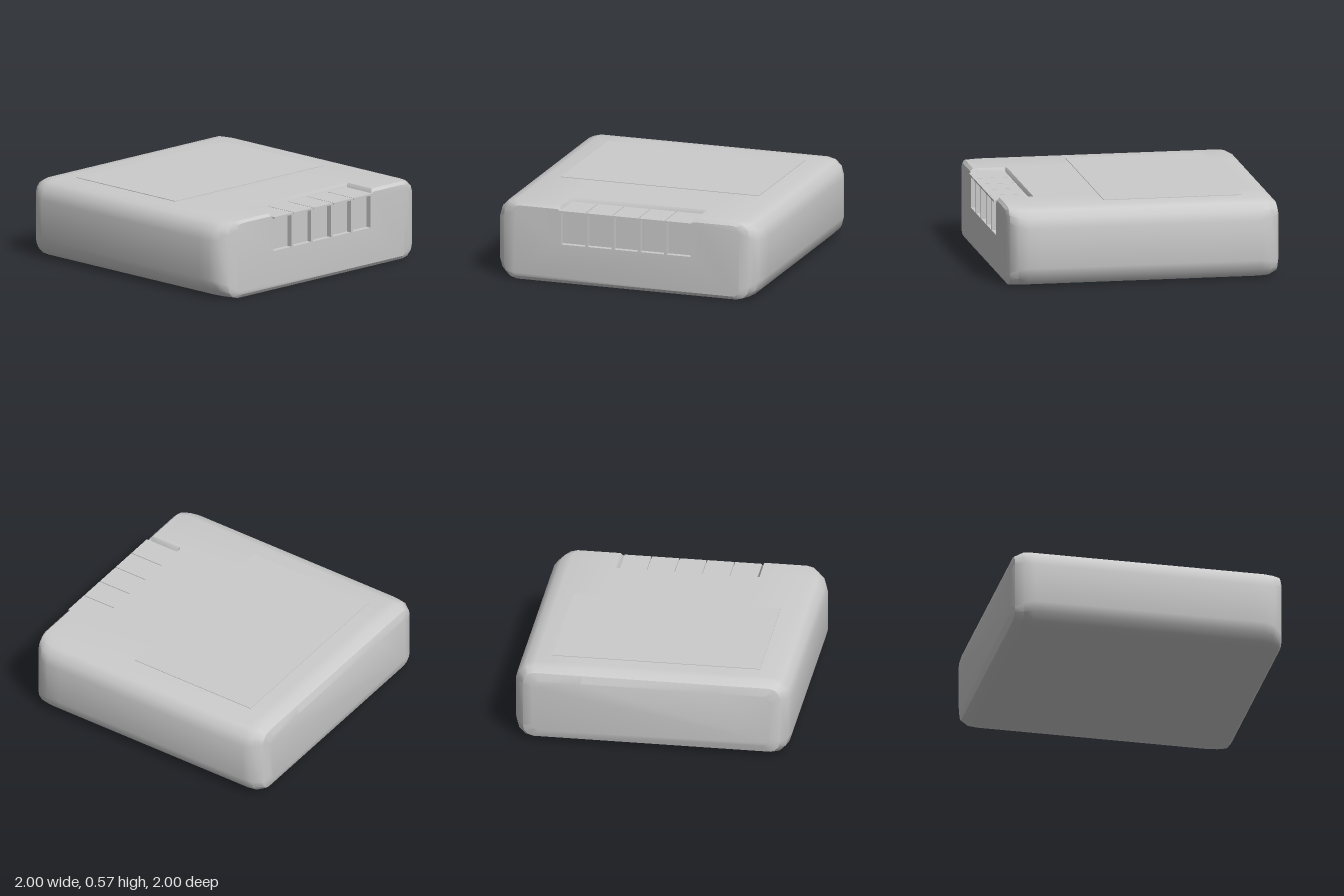
import * as THREE from 'three';
import { toCreasedNormals } from 'three/addons/utils/BufferGeometryUtils.js';

const material = new THREE.MeshStandardMaterial({ color: 0xcccccc });

// Rounded cross-section (counter-clockwise seen from the front).
// lip and floor are the two heights of the key recess cut in the top edge.
function section({ z, w, y0, y1, r, lip = y1, floor = y1 }) {
  const pts = [];
  const corner = (cx, cy, start) => {
    for (let i = 0; i <= 3; i++) {
      const a = start + (i * Math.PI) / 6;
      pts.push(new THREE.Vector3(cx + r * Math.cos(a), cy + r * Math.sin(a), z));
    }
  };
  corner(w - r, y0 + r, -Math.PI / 2);
  corner(w - r, y1 - r, 0);
  for (const [x, y] of [[0.52, y1], [0.5, lip], [0.5, floor], [-0.5, floor], [-0.5, lip], [-0.52, y1]]) {
    pts.push(new THREE.Vector3(x, y, z));
  }
  corner(-w + r, y1 - r, Math.PI / 2);
  corner(-w + r, y0 + r, Math.PI);
  return pts;
}

// Skin the sections from back to front and close both ends.
function loft(rings) {
  const pos = [];
  const tri = (a, b, c) => {
    if (new THREE.Triangle(a, b, c).getArea() > 1e-7) for (const p of [a, b, c]) pos.push(p.x, p.y, p.z);
  };
  for (let i = 0; i < rings.length - 1; i++) {
    const n = rings[i].length;
    for (let j = 0; j < n; j++) {
      const k = (j + 1) % n;
      tri(rings[i][j], rings[i][k], rings[i + 1][k]);
      tri(rings[i][j], rings[i + 1][k], rings[i + 1][j]);
    }
  }
  const cap = (ring, flip) => {
    const flat = ring.map((p) => new THREE.Vector2(p.x, p.y));
    for (const [a, b, c] of THREE.ShapeUtils.triangulateShape(flat, [])) {
      if (flip) tri(ring[a], ring[c], ring[b]);
      else tri(ring[a], ring[b], ring[c]);
    }
  };
  cap(rings[0], true);
  cap(rings[rings.length - 1], false);
  const geo = new THREE.BufferGeometry();
  geo.setAttribute('position', new THREE.Float32BufferAttribute(pos, 3));
  return toCreasedNormals(geo, 0.6);
}

// Box given by its limits on each axis
function box(name, x0, x1, y0, y1, z0, z1) {
  const mesh = new THREE.Mesh(new THREE.BoxGeometry(x1 - x0, y1 - y0, z1 - z0), material);
  mesh.position.set((x0 + x1) / 2, (y0 + y1) / 2, (z0 + z1) / 2);
  mesh.name = name;
  return mesh;
}

export function createModel() {
  const model = new THREE.Group();
  model.name = 'device';

  // Housing: soft back, tight front edge, stepped recess for the keys
  const full = { w: 1, y0: 0, y1: 0.57, r: 0.14 };
  const cut = { lip: 0.54, floor: 0.29 };
  const stations = [
    { z: -1, w: 0.86, y0: 0.09, y1: 0.48, r: 0.05 },
    { z: -0.98, w: 0.93, y0: 0.035, y1: 0.535, r: 0.08 },
    { z: -0.92, w: 0.98, y0: 0.005, y1: 0.565, r: 0.12 },
    { z: -0.85, ...full },
    { z: 0.72, ...full },
    { z: 0.735, ...full, lip: 0.54, floor: 0.54 },
    { z: 0.735, ...full, ...cut },
    { z: 0.84, ...full, ...cut },
    { z: 0.91, ...full, ...cut, w: 0.98, r: 0.13 },
    { z: 0.965, ...full, ...cut, w: 0.93, r: 0.1 },
    { z: 0.985, ...cut, w: 0.86, y0: 0.025, y1: 0.55, r: 0.05 },
  ];
  const housing = new THREE.Mesh(loft(stations.map(section)), material);
  housing.name = 'housing';
  model.add(housing);

  // Raised panel on the lid
  model.add(box('topPanel', -0.75, 0.75, 0.56, 0.574, -0.75, 0.25));

  // Row of keys: set-back body under an overhanging cap
  const keys = new THREE.Group();
  keys.name = 'keys';
  for (let i = 0; i < 5; i++) {
    const x = -0.4 + i * 0.2;
    const key = new THREE.Group();
    key.name = 'key';
    key.add(box('keyBody', x - 0.09, x + 0.09, 0.29, 0.532, 0.735, 0.945));
    key.add(box('keyCap', x - 0.097, x + 0.097, 0.53, 0.543, 0.735, 1));
    keys.add(key);
  }
  model.add(keys);

  // Dividers between the keys
  for (let i = 0; i < 6; i++) {
    const x = -0.5 + i * 0.2;
    model.add(box('divider', Math.max(x - 0.01, -0.5), Math.min(x + 0.01, 0.5), 0.29, 0.53, 0.735, 0.985));
  }
  return model;
}
